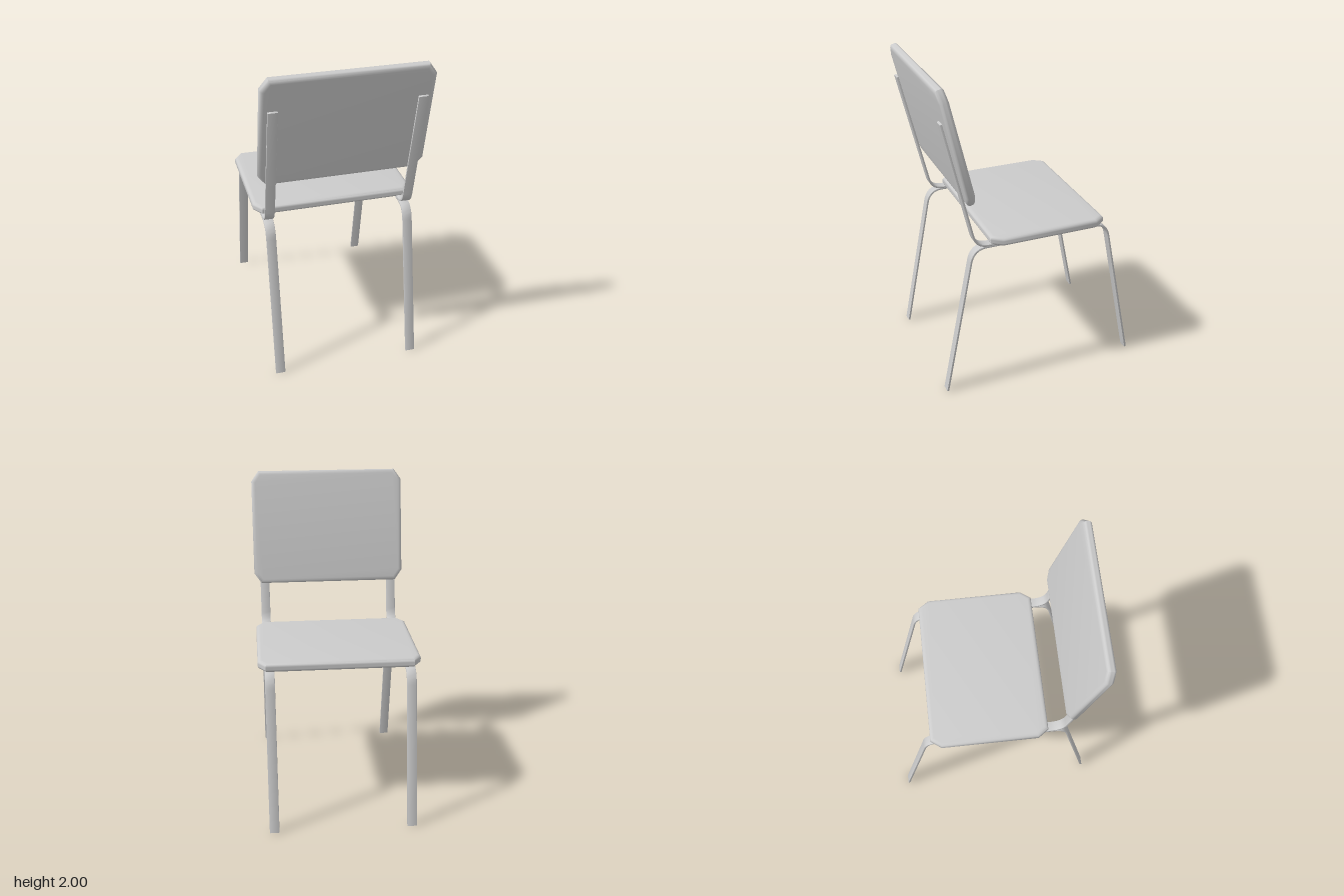
import * as THREE from 'three';
import { toCreasedNormals } from 'three/addons/utils/BufferGeometryUtils.js';

const material = new THREE.MeshStandardMaterial({ color: 0xcccccc });

function addMesh(parent, name, geometry) {
  const mesh = new THREE.Mesh(toCreasedNormals(geometry, 0.7), material);
  mesh.name = name;
  parent.add(mesh);
  return mesh;
}

// Cushioned board with clipped corners and rounded rims, centred, facing z
function panelGeometry(width, height, thickness) {
  const rim = 0.025, edge = 0.02, cx = 0.035, cy = 0.05;
  const w = width / 2 - rim, h = height / 2 - rim;
  const shape = new THREE.Shape([
    [w - cx, -h], [w, -h + cy], [w, h - cy], [w - cx, h],
    [-w + cx, h], [-w, h - cy], [-w, -h + cy], [-w + cx, -h],
  ].map(([x, y]) => new THREE.Vector2(x, y)));
  const depth = thickness - 2 * edge;
  const geometry = new THREE.ExtrudeGeometry(shape, {
    depth, bevelThickness: edge, bevelSize: rim, bevelSegments: 4,
  });
  return geometry.translate(0, 0, -depth / 2);
}

// Flat metal bar following a side-view path given in (z, y)
function barGeometry(path, width = 0.06, thickness = 0.014) {
  const bevel = 0.004, half = thickness / 2 - bevel;
  const points = path.getPoints(10);
  const offset = (side) => points.map((p, i) => {
    const a = points[Math.max(i - 1, 0)];
    const b = points[Math.min(i + 1, points.length - 1)];
    const t = b.clone().sub(a).normalize();
    return new THREE.Vector2(p.x - t.y * half * side, p.y + t.x * half * side);
  });
  const shape = new THREE.Shape([...offset(1), ...offset(-1).reverse()]);
  const depth = width - 2 * bevel;
  const geometry = new THREE.ExtrudeGeometry(shape, {
    depth, bevelThickness: bevel, bevelSize: bevel, bevelSegments: 2,
  });
  return geometry.translate(0, 0, -depth / 2).rotateY(-Math.PI / 2);
}

export function createModel() {
  const chair = new THREE.Group();
  chair.name = 'chair';

  // Seat
  const seat = addMesh(chair, 'seat', panelGeometry(1, 0.745, 0.056));
  seat.rotation.x = -Math.PI / 2;
  seat.position.set(0, 1.014, -0.043);

  // Reclined backrest
  const backrest = addMesh(chair, 'backrest', panelGeometry(1, 0.742, 0.056));
  backrest.rotation.x = 0.231;
  backrest.position.set(0, 1.636, 0.528);

  // Each side: one bar bent into both legs, another rising behind the backrest
  const legPath = new THREE.Path();
  legPath.moveTo(0.629, 0.006);
  legPath.lineTo(0.457, 0.89);
  legPath.quadraticCurveTo(0.44, 0.982, 0.355, 0.982);
  legPath.lineTo(-0.355, 0.982);
  legPath.quadraticCurveTo(-0.44, 0.982, -0.457, 0.89);
  legPath.lineTo(-0.629, 0.006);

  const supportPath = new THREE.Path();
  supportPath.moveTo(0.28, 0.991);
  supportPath.lineTo(0.34, 0.991);
  supportPath.quadraticCurveTo(0.421, 0.991, 0.44, 1.07);
  supportPath.lineTo(0.611, 1.794);

  for (const [side, x] of [['left', 0.43], ['right', -0.43]]) {
    addMesh(chair, side + 'Legs', barGeometry(legPath)).position.x = x;
    addMesh(chair, side + 'BackSupport', barGeometry(supportPath)).position.x = x;
  }
  return chair;
}
